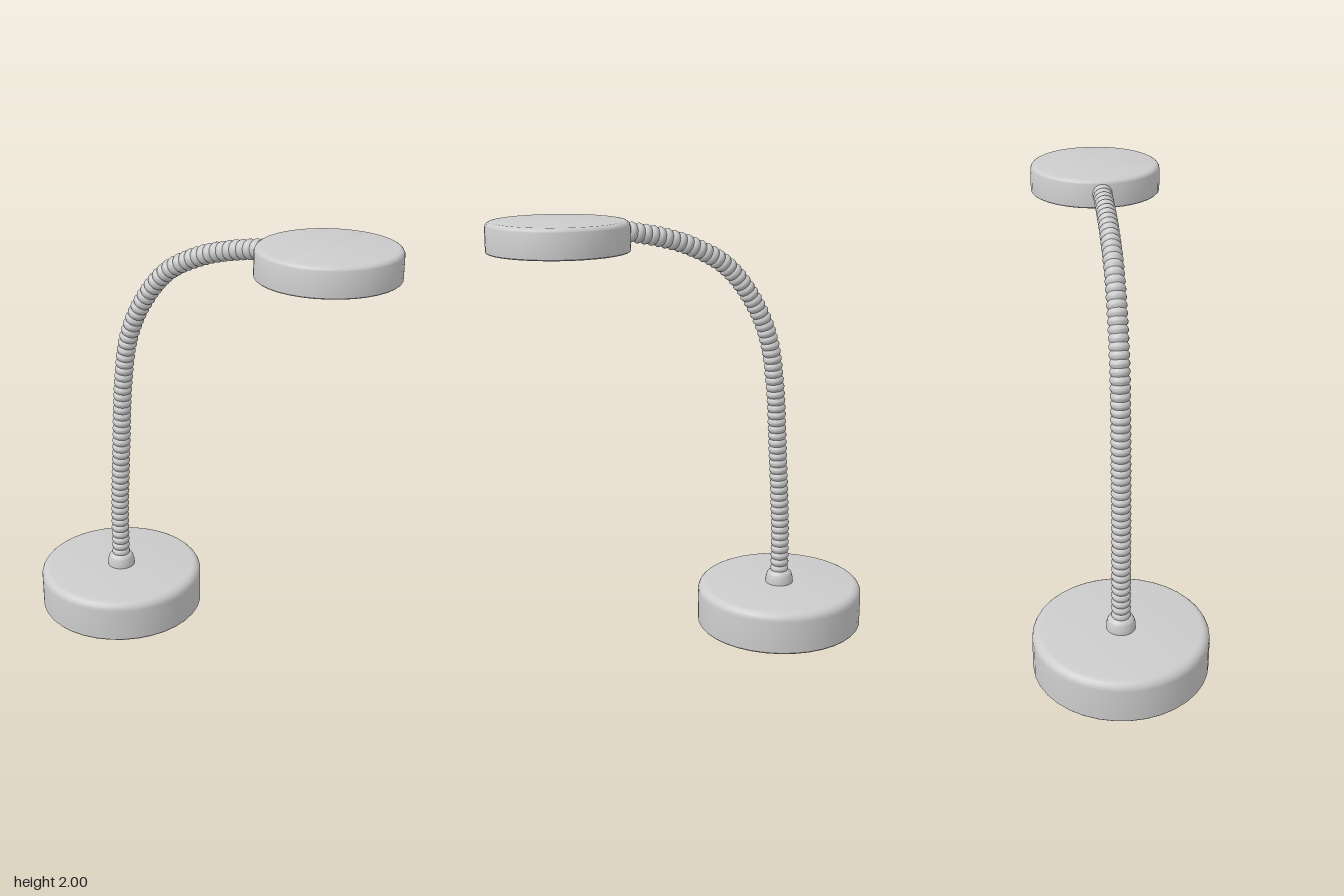
import * as THREE from 'three';
import { toCreasedNormals } from 'three/addons/utils/BufferGeometryUtils.js';

const material = new THREE.MeshStandardMaterial({ color: 0xcccccc });

function addMesh(group, name, geometry, x = 0, y = 0, z = 0) {
  const mesh = new THREE.Mesh(toCreasedNormals(geometry, 0.6), material);
  mesh.name = name;
  mesh.position.set(x, y, z);
  group.add(mesh);
}

// Revolved solid from [radius, height] pairs, listed bottom to top
function turned(points, sides) {
  return new THREE.LatheGeometry(points.map(([r, y]) => new THREE.Vector2(r, y)), sides);
}

// Rounded upper rim: quarter arc ending at the top height
function rim(radius, top, bevel, steps = 5) {
  return Array.from({ length: steps + 1 }, (_, i) => {
    const a = (i / steps) * Math.PI / 2;
    return [radius - bevel + bevel * Math.cos(a), top - bevel + bevel * Math.sin(a)];
  });
}

// Ribbed tube: radius swells once per rib along the path
function ribbedTube(path, ribs, inner, outer, stepsPerRib = 6, sides = 16) {
  const rows = ribs * stepsPerRib;
  const geometry = new THREE.TubeGeometry(path, rows, 1, sides);
  const pos = geometry.attributes.position;
  const v = new THREE.Vector3();
  for (let i = 0; i <= rows; i++) {
    const centre = path.getPointAt(i / rows);
    const bulge = Math.sin(Math.PI * (i % stepsPerRib) / stepsPerRib);
    const radius = inner + (outer - inner) * bulge;
    for (let j = 0; j <= sides; j++) {
      const k = i * (sides + 1) + j;
      v.fromBufferAttribute(pos, k).sub(centre).multiplyScalar(radius).add(centre);
      pos.setXYZ(k, v.x, v.y, v.z);
    }
  }
  return geometry;
}

export function createModel() {
  const lamp = new THREE.Group();
  lamp.name = 'deskLamp';

  // Weighted base
  addMesh(lamp, 'base', turned([
    [0, 0], [0.392, 0], [0.397, 0.006], ...rim(0.397, 0.2, 0.04), [0, 0.2],
  ], 36), -0.503);

  // Collar where the neck enters the base
  addMesh(lamp, 'collar', turned([
    [0.066, 0], [0.066, 0.025], ...rim(0.062, 0.065, 0.03), [0, 0.065],
  ], 24), -0.503, 0.198);

  // Flexible gooseneck
  const path = new THREE.CatmullRomCurve3([
    [-0.503, 0.22], [-0.5, 0.5], [-0.48, 0.85], [-0.455, 1.2], [-0.415, 1.42],
    [-0.33, 1.6], [-0.19, 1.765], [0, 1.867], [0.15, 1.912], [0.32, 1.945],
  ].map(([x, y]) => new THREE.Vector3(x, y, 0)));
  addMesh(lamp, 'gooseneck', ribbedTube(path, 64, 0.036, 0.044));

  // Lamp head with a shallow recess underneath
  addMesh(lamp, 'lampHead', turned([
    [0, 0.02], [0.225, 0.02], [0.235, 0], [0.293, 0], [0.297, 0.004],
    ...rim(0.297, 0.125, 0.025), [0, 0.125],
  ], 36), 0.6, 1.875, -0.006);

  return lamp;
}
